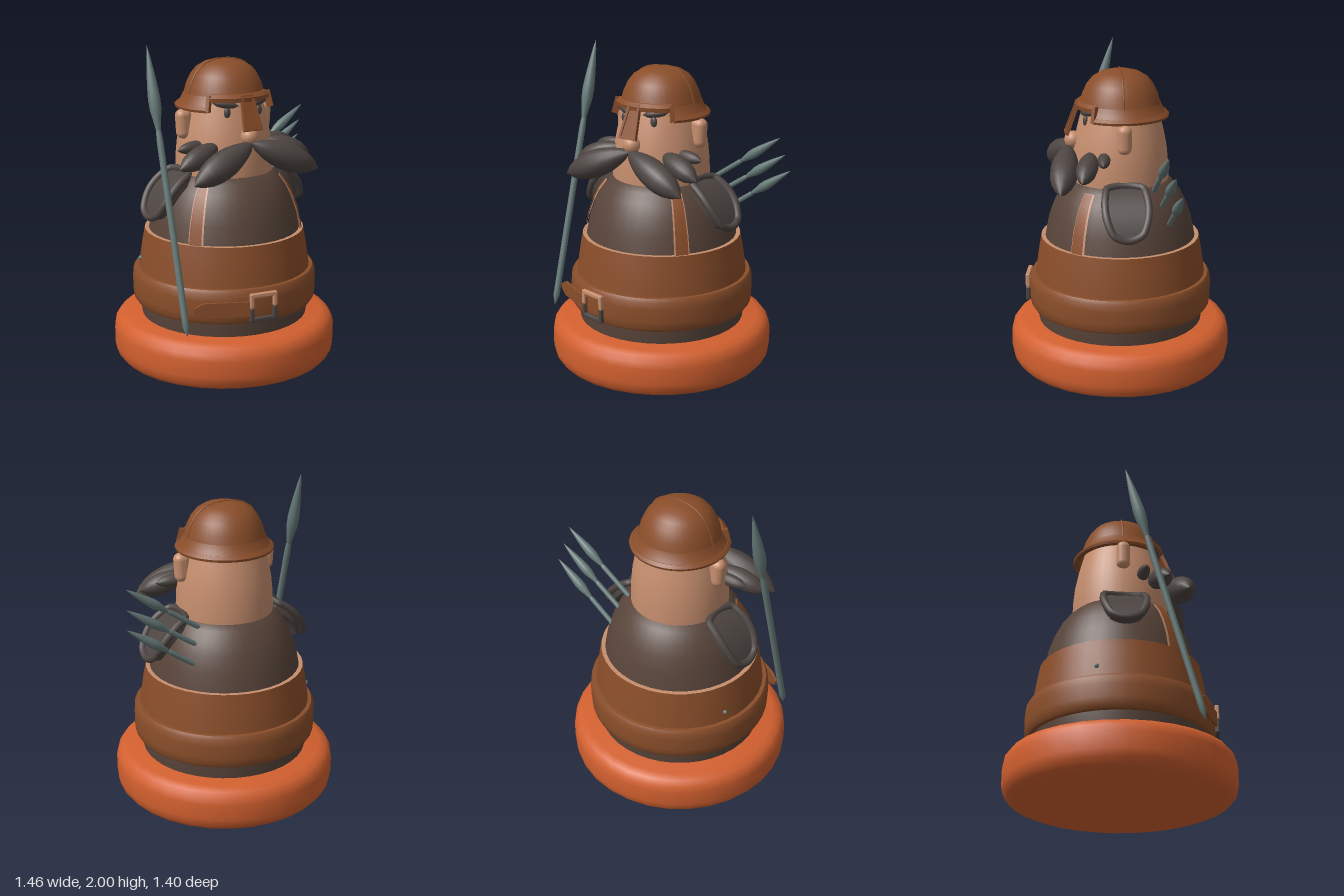
import * as THREE from 'three';
import { toCreasedNormals } from 'three/addons/utils/BufferGeometryUtils.js';
import { RoundedBoxGeometry } from 'three/addons/geometries/RoundedBoxGeometry.js';

const material = (name, color, side = THREE.FrontSide) => {
  const m = new THREE.MeshStandardMaterial({ color, side });
  m.name = name;
  return m;
};

export function createModel() {
  const orange = material('orange', 0xd2602f);
  const leather = material('brown leather', 0x8a4e2a, THREE.DoubleSide);
  const cloth = material('dark cloth', 0x58443a);
  const hair = material('dark grey', 0x4d4542);
  const skin = material('skin', 0xc68e6e);
  const steel = material('steel', 0x667a78);

  const model = new THREE.Group();
  const figure = new THREE.Group(); // everything symmetric around the body axis
  figure.name = 'figure';
  figure.position.x = -0.035;
  model.add(figure);

  const add = (name, geo, mat, parent = figure) => {
    const mesh = new THREE.Mesh(geo, mat);
    mesh.name = name;
    parent.add(mesh);
    return mesh;
  };
  // Turned part; profile is [radius, y] from the bottom up
  const turn = (name, profile, mat, start = 0, length = Math.PI * 2, segments = 40) =>
    add(name, toCreasedNormals(new THREE.LatheGeometry(
      profile.map(([r, y]) => new THREE.Vector2(r, y)), segments, start, length), 0.7), mat);
  // Spindle from a to b with relative radii along its length
  const spindle = (name, a, b, radius, radii, mat, parent = figure) => {
    const from = new THREE.Vector3(...a), dir = new THREE.Vector3(...b).sub(from);
    const len = dir.length();
    const pts = radii.map((r, i) => new THREE.Vector2(r * radius, len * i / (radii.length - 1)));
    const mesh = add(name, new THREE.LatheGeometry(pts, 14), mat, parent);
    mesh.position.copy(from);
    mesh.quaternion.setFromUnitVectors(new THREE.Vector3(0, 1, 0), dir.normalize());
    return mesh;
  };

  // Base and body
  turn('base', [[0, 0], [0.62, 0], [0.665, 0.02], [0.692, 0.055], [0.7, 0.1], [0.7, 0.2],
    [0.692, 0.24], [0.665, 0.275], [0.62, 0.29], [0, 0.29]], orange, 0, Math.PI * 2, 32);
  const torso = [[0.475, 0.82], [0.45, 0.95], [0.415, 1.05], [0.38, 1.12], [0.335, 1.18], [0.29, 1.22]];
  turn('body', [[0.52, 0.27], [0.535, 0.4], [0.52, 0.6], ...torso, [0, 1.25]], cloth);

  // Waist band with its light upper edge, and the belt
  turn('waistBand', [[0.54, 0.57], [0.53, 0.65], [0.515, 0.75], [0.498, 0.84]], leather);
  turn('waistBandEdge', [[0.498, 0.84], [0.472, 0.84], [0.472, 0.81]], skin);
  turn('belt', [[0.52, 0.385], [0.56, 0.385], [0.573, 0.405], [0.577, 0.45], [0.577, 0.53],
    [0.573, 0.575], [0.56, 0.596], [0.51, 0.596]], leather);
  const rivet = add('rivet', new THREE.SphereGeometry(0.014, 10, 8), steel);
  rivet.position.set(-0.505, 0.66, -0.17);

  // Buckle: light upper half, dark lower half
  const buckle = new THREE.Group();
  buckle.name = 'buckle';
  buckle.position.set(-0.083, 0.49, 0.58);
  buckle.rotation.y = -0.14;
  figure.add(buckle);
  const frameBar = (name, w, h, x, y, mat) =>
    add(name, new RoundedBoxGeometry(w, h, 0.028, 2, 0.008), mat, buckle).position.set(x, y, 0);
  for (const [half, s, mat] of [['Upper', 1, skin], ['Lower', -1, hair]]) {
    frameBar('buckle' + half + 'Bar', 0.175, 0.028, 0, s * 0.075, mat);
    for (const side of [-1, 1]) frameBar('buckle' + half + 'Side', 0.026, 0.09, side * 0.075, s * 0.043, mat);
  }

  // Loose belt end
  const tongueShape = new THREE.Shape([[0, 0.045], [-0.3, 0.045], [-0.355, 0.015], [-0.355, -0.015],
    [-0.3, -0.045], [0, -0.045]].map(p => new THREE.Vector2(...p)));
  const tongue = add('beltEnd', new THREE.ExtrudeGeometry(tongueShape, { depth: 0.018, bevelEnabled: false }), leather);
  tongue.position.set(-0.14, 0.485, 0.562);
  tongue.rotation.y = -0.42;

  // Head
  turn('head', [[0.3, 1.13], [0.302, 1.22], [0.298, 1.32], [0.288, 1.42], [0.268, 1.52],
    [0.242, 1.62], [0.22, 1.7], [0, 1.75]], skin);
  const nose = add('nose', new THREE.SphereGeometry(0.055, 16, 12), skin);
  nose.position.set(0, 1.455, 0.29);

  const whisker = [0, 0.45, 0.7, 0.88, 0.98, 1, 0.95, 0.8, 0.5, 0];
  for (const s of [-1, 1]) {
    const side = s > 0 ? 'left' : 'right';
    const ear = add(side + 'Ear', new RoundedBoxGeometry(0.1, 0.18, 0.085, 4, 0.04), skin);
    ear.position.set(s * 0.283, 1.515, 0);
    ear.rotation.z = s * -0.06;
    const eye = add(side + 'Eye', new THREE.SphereGeometry(0.022, 12, 10), hair);
    eye.scale.set(1, 1.6, 0.8);
    eye.position.set(s * 0.11, 1.595, 0.218);
    spindle(side + 'Eyebrow', [s * 0.045, 1.635, 0.245], [s * 0.195, 1.66, 0.175], 0.024,
      [0, 0.8, 1, 1, 0.8, 0], hair);

    // Moustache and side whiskers
    spindle(side + 'Moustache', [s * -0.01, 1.42, 0.32], [s * 0.44, 1.225, 0.39], 0.085, whisker, hair);
    spindle(side + 'MiddleWhisker', [s * 0.14, 1.405, 0.18], [s * 0.46, 1.3, 0.265], 0.064, whisker, hair);
    spindle(side + 'UpperWhisker', [s * 0.16, 1.4, 0.11], [s * 0.405, 1.385, 0.135], 0.038, whisker, hair);

    // Shoulder straps with light edges
    const strap = torso.slice(0, 5);
    const out = d => strap.map(([r, y]) => [r + d, y]);
    turn(side + 'StrapEdge', out(0.008), skin, s * 0.91 - 0.1, 0.2, 6);
    turn(side + 'Strap', out(0.016), leather, s * 0.91 - 0.08, 0.16, 6);
  }

  // Shoulder pads: rounded panel and rim bent along a curve over the shoulder
  const padCurve = new THREE.QuadraticBezierCurve(new THREE.Vector2(0.29, 1.235),
    new THREE.Vector2(0.46, 1.17), new THREE.Vector2(0.53, 0.965));
  const bend = (u, v, w) => { // u, v in -1..1 over the panel, w is height above it
    const round = v < 0 ? 0.55 : 0.3;
    const x = u * Math.sqrt(1 - round * v * v), y = v * Math.sqrt(1 - 0.3 * u * u);
    const t = (1 - y) / 2, p = padCurve.getPoint(t), d = padCurve.getTangent(t);
    return new THREE.Vector3(p.x - d.y * w, p.y + d.x * w, x * 0.13);
  };
  const panel = new THREE.BoxGeometry(2, 2, 0.05, 10, 10, 1);
  const pos = panel.attributes.position;
  for (let i = 0; i < pos.count; i++) {
    const p = bend(pos.getX(i), pos.getY(i), pos.getZ(i) - 0.03);
    pos.setXYZ(i, p.x, p.y, -p.z);
  }
  panel.computeVertexNormals();
  const rimPoints = [];
  const corners = [[-1, -1], [1, -1], [1, 1], [-1, 1]];
  corners.forEach(([u, v], i) => {
    const [u2, v2] = corners[(i + 1) % 4];
    for (let k = 0; k < 6; k++) rimPoints.push(bend(u + (u2 - u) * k / 6, v + (v2 - v) * k / 6, 0));
  });
  const rim = new THREE.TubeGeometry(new THREE.CatmullRomCurve3(rimPoints, true), 64, 0.023, 8, true);
  for (const [side, angle] of [['left', 0], ['right', Math.PI]]) {
    const pad = new THREE.Group();
    pad.name = side + 'ShoulderPad';
    pad.rotation.y = angle;
    figure.add(pad);
    add('padPanel', panel, hair, pad);
    add('padRim', rim, hair, pad);
  }

  // Helmet: dome, skirt open over the face, rim, brow band, ridge and nose guard
  const dome = [[0.248, 1.68], [0.232, 1.74], [0.203, 1.8], [0.17, 1.84], [0.12, 1.87], [0.06, 1.886], [0, 1.89]];
  const open = 0.9, sweep = Math.PI * 2 - 2 * open;
  turn('helmetDome', dome, leather);
  turn('helmetSkirt', [[0.262, 1.605], [0.288, 1.605], [0.296, 1.615], [0.268, 1.645], [0.248, 1.69]], leather, open, sweep);
  turn('helmetRim', [[0.275, 1.6], [0.298, 1.6], [0.302, 1.615], [0.285, 1.632], [0.27, 1.63]], leather, open, sweep);
  turn('browBand', [[0.235, 1.66], [0.275, 1.66], [0.278, 1.685], [0.255, 1.705], [0.24, 1.705]], leather, -open, 2 * open, 16);
  for (const s of [-1, 1]) {
    const post = add('browPost', new THREE.BoxGeometry(0.022, 0.1, 0.04), leather);
    post.position.set(s * 0.212, 1.65, 0.172);
    post.rotation.set(-0.25, s * open, 0, 'YXZ');
  }
  const ridgePath = [...dome.slice(0, -1).map(([r, y]) => new THREE.Vector3(-r, y, 0)),
    ...dome.slice().reverse().map(([r, y]) => new THREE.Vector3(r, y, 0))];
  add('helmetRidge', new THREE.TubeGeometry(new THREE.CatmullRomCurve3(ridgePath), 40, 0.006, 6), leather);
  const guardShape = (w, top, bottom) => new THREE.Shape([[-w + 0.022, top], [-w, bottom], [w, bottom], [w - 0.022, top]]
    .map(p => new THREE.Vector2(...p)));
  const guard = new THREE.Group();
  guard.name = 'noseGuard';
  guard.position.set(0, 1.59, 0.285);
  guard.rotation.x = -0.36;
  figure.add(guard);
  const border = guardShape(0.064, 0.11, -0.105);
  border.holes.push(guardShape(0.048, 0.095, -0.09));
  add('guardPlate', new THREE.ExtrudeGeometry(guardShape(0.062, 0.11, -0.103), { depth: 0.014, bevelEnabled: false }), leather, guard);
  add('guardBorder', new THREE.ExtrudeGeometry(border, { depth: 0.022, bevelEnabled: false }), leather, guard);

  // Spear and the three javelins behind the left shoulder
  const blade = [0.4, 0.65, 0.95, 1, 0.88, 0.72, 0.52, 0.3, 0];
  const weapon = (name, tail, tip, shaftRadius, headRadius, headLength) => {
    const a = new THREE.Vector3(...tail), b = new THREE.Vector3(...tip);
    const neck = b.clone().lerp(a, headLength / a.distanceTo(b)).toArray();
    const group = new THREE.Group();
    group.name = name;
    model.add(group);
    spindle('shaft', tail, neck, shaftRadius, [0, 1, 1, 1, 1, 1, 1, 1, 1, 1, 1, 1, 1, 1, 1, 1, 1, 1, 1, 1, 0.8], steel, group);
    spindle('blade', neck, tip, headRadius, blade, steel, group);
  };
  weapon('spear', [-0.56, 0.34, 0.445], [-0.557, 2, -0.005], 0.02, 0.037, 0.5);
  weapon('upperJavelin', [0.2, 1.17, -0.18], [0.695, 1.51, -0.205], 0.015, 0.029, 0.32);
  weapon('middleJavelin', [0.25, 1.09, -0.225], [0.71, 1.4, -0.245], 0.015, 0.029, 0.32);
  weapon('lowerJavelin', [0.28, 0.98, -0.265], [0.727, 1.295, -0.282], 0.015, 0.029, 0.32);

  return model;
}
